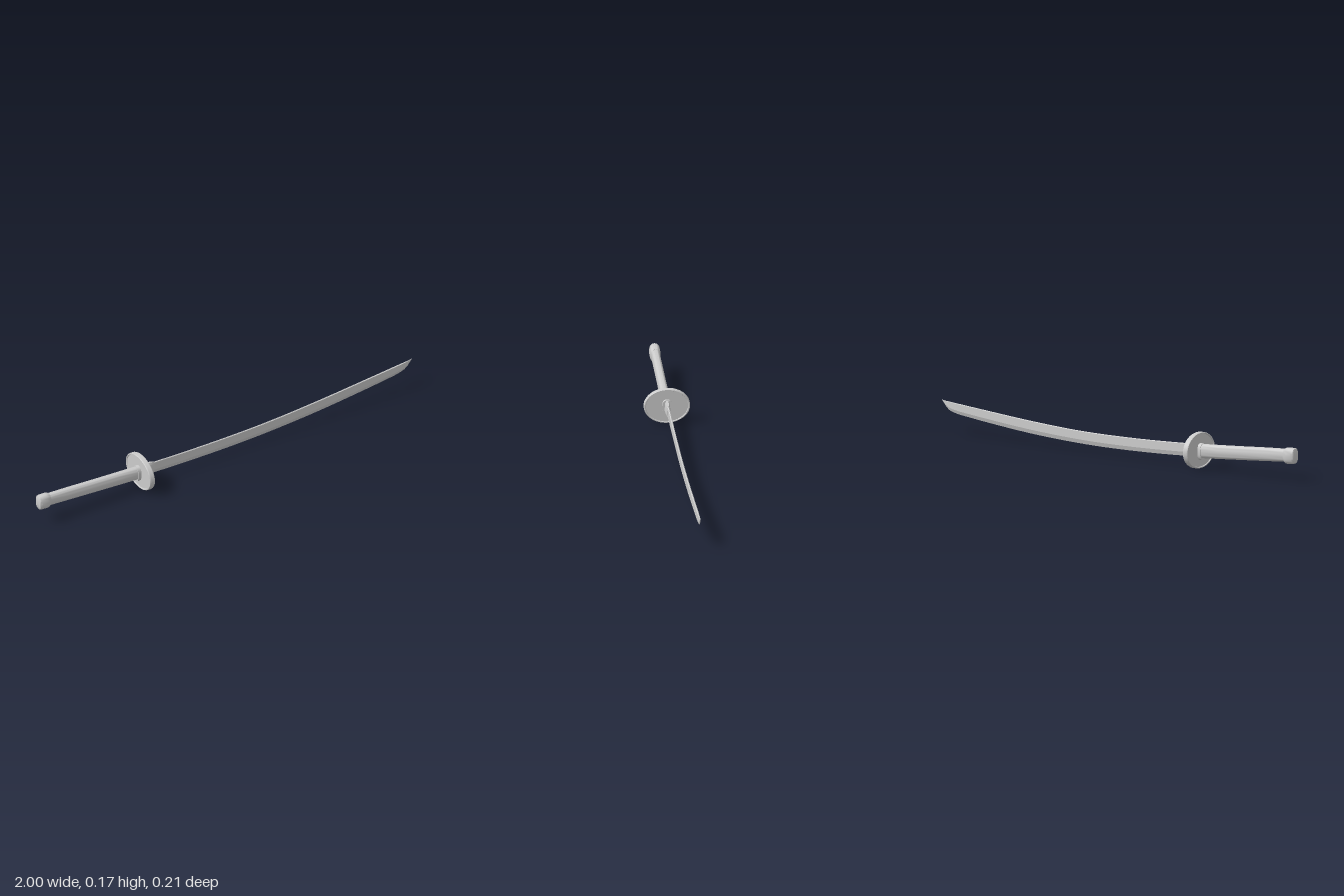
import * as THREE from 'three';
import { toCreasedNormals } from 'three/addons/utils/BufferGeometryUtils.js';

const material = new THREE.MeshStandardMaterial({ color: 0xcccccc });

// Skin cross-sections along x. Station: [x, bottom y, top y, half width].
// Profile points: [height 0..1, side -1..1], running top, +z, bottom, -z.
function loft(stations, profile, crease = 0.6) {
  const n = profile.length, pos = [], index = [];
  for (const [x, lo, hi, w] of stations)
    for (const [v, s] of profile) pos.push(x, lo + (hi - lo) * v, w * s);
  for (let i = 0; i < stations.length - 1; i++)
    for (let j = 0; j < n; j++) {
      const k = (j + 1) % n, a = i * n + j, b = i * n + k;
      index.push(a, b, b + n, a, b + n, a + n);
    }
  // end caps
  const last = (stations.length - 1) * n;
  for (const [base, flip] of [[0, true], [last, false]]) {
    const [x, lo, hi] = stations[base / n];
    const c = pos.length / 3;
    pos.push(x, (lo + hi) / 2, 0);
    for (let j = 0; j < n; j++) {
      const a = base + j, b = base + (j + 1) % n;
      index.push(c, flip ? b : a, flip ? a : b);
    }
  }
  const g = new THREE.BufferGeometry();
  g.setAttribute('position', new THREE.Float32BufferAttribute(pos, 3));
  g.setIndex(index);
  return toCreasedNormals(g, crease);
}

// Rounded, slightly squared oval
function oval(count, power) {
  const f = (v) => Math.sign(v) * Math.abs(v) ** (2 / power);
  return Array.from({ length: count }, (_, i) => {
    const t = (i / count) * Math.PI * 2;
    return [0.5 + 0.5 * f(Math.cos(t)), f(Math.sin(t))];
  });
}

export function createModel() {
  const group = new THREE.Group();
  const add = (name, geometry) => {
    const mesh = new THREE.Mesh(geometry, material);
    mesh.name = name;
    group.add(mesh);
    return mesh;
  };
  const grip = oval(24, 2.5);

  // Curved blade: each curve point holds (x, edge y, spine y)
  const curve = new THREE.CatmullRomCurve3([
    [-0.45, 0.054, 0.113], [-0.2, 0.043, 0.102], [0.05, 0.038, 0.097],
    [0.25, 0.041, 0.099], [0.5, 0.054, 0.112], [0.75, 0.077, 0.131], [0.9, 0.094, 0.143],
  ].map((p) => new THREE.Vector3(...p)));
  const blade = curve.getPoints(36).map((p) => [p.x, p.y, p.z, 0.0055]);
  blade.push([0.935, 0.101, 0.146, 0.005], [0.957, 0.109, 0.148, 0.004],
    [0.975, 0.124, 0.149, 0.003], [0.99, 0.143, 0.151, 0.0015], [0.998, 0.151, 0.152, 0.0003]);
  add('blade', loft(blade, [[1, 0], [0.95, 0.7], [0.32, 1], [0, 0], [0.32, -1], [0.95, -0.7]], 0.25));

  // Wedge-shaped collar at the blade root
  add('bladeCollar', loft([
    [-0.445, 0.048, 0.117, 0.013], [-0.4, 0.047, 0.115, 0.012], [-0.382, 0.049, 0.111, 0.0065],
  ], [[1, 0.35], [0.85, 0.75], [0.35, 1], [0.05, 0.4], [0.05, -0.4], [0.35, -1], [0.85, -0.75], [1, -0.35]], 0.4));

  // Oval guard with a raised rim
  const profile = [[0, -0.009], [0.91, -0.009], [0.93, -0.013], [0.975, -0.013], [1, -0.008],
    [1, 0.008], [0.975, 0.013], [0.93, 0.013], [0.91, 0.009], [0, 0.009]];
  const plate = new THREE.LatheGeometry(profile.map(([r, h]) => new THREE.Vector2(r, h)), 48);
  plate.rotateZ(-Math.PI / 2);
  plate.scale(1, 0.0825, 0.105);
  const guard = add('guard', toCreasedNormals(plate, 0.5));
  guard.position.set(-0.453, 0.0855, 0);

  // Spacers on both faces of the guard
  for (const [name, a, b] of [['frontSpacer', -0.447, -0.432], ['backSpacer', -0.478, -0.458]])
    add(name, loft([[a, 0.042, 0.119, 0.0235], [b, 0.042, 0.119, 0.0235]], grip));

  // Gently curved handle
  add('handle', loft([
    [-0.97, 0.09, 0.149, 0.02], [-0.85, 0.08, 0.142, 0.02], [-0.7, 0.068, 0.131, 0.02],
    [-0.57, 0.058, 0.122, 0.0205], [-0.46, 0.05, 0.115, 0.0205],
  ], grip));

  // Rounded end cap
  add('pommel', loft([
    [-1, 0.09, 0.15, 0.018], [-0.997, 0.085, 0.155, 0.022], [-0.99, 0.083, 0.156, 0.0245],
    [-0.962, 0.08, 0.155, 0.0245], [-0.95, 0.081, 0.153, 0.0235], [-0.941, 0.087, 0.148, 0.02],
  ], grip));

  return group;
}
